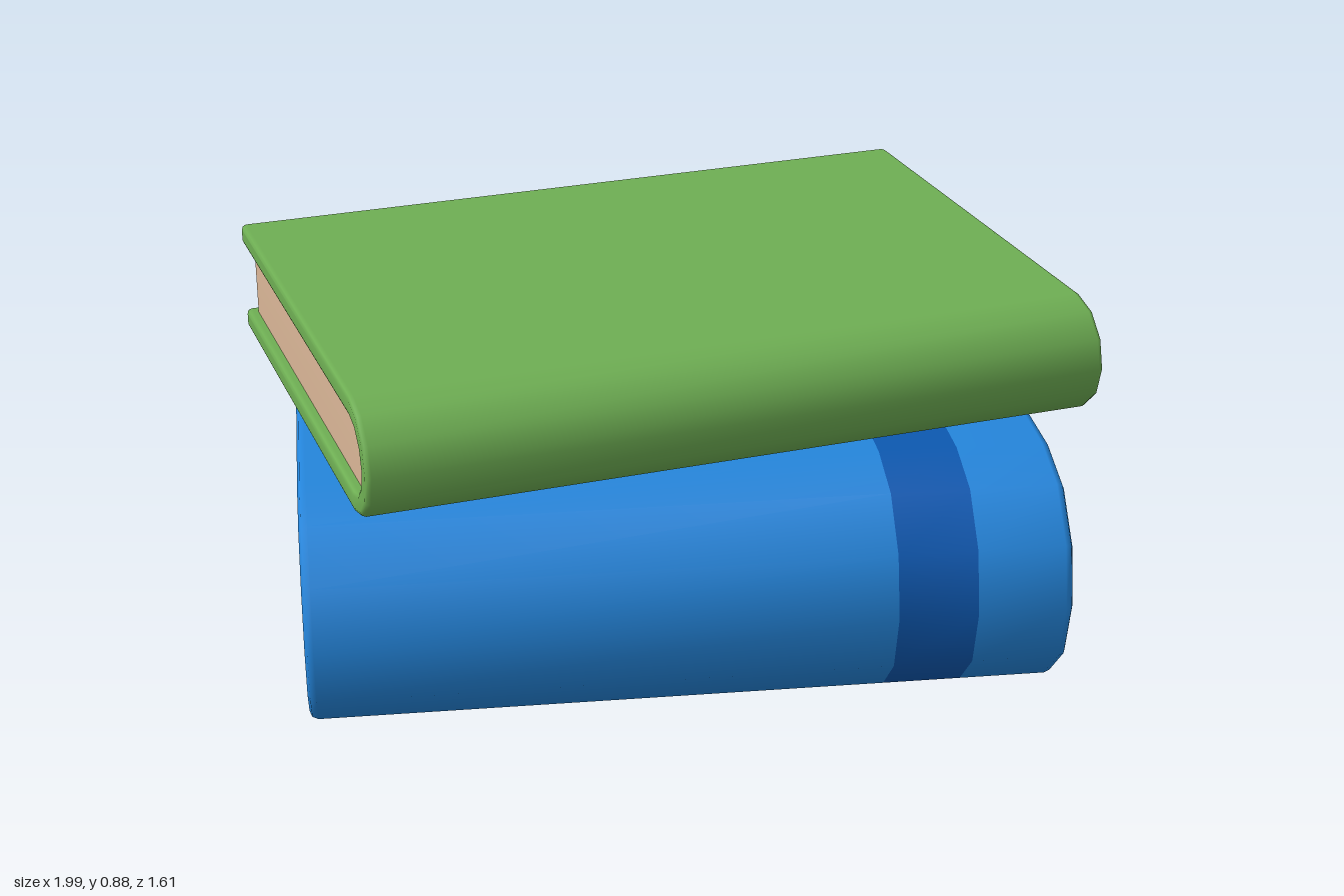
import * as THREE from 'three';
import { mergeVertices } from 'three/addons/utils/BufferGeometryUtils.js';

const flat = (name, color) => {
  const m = new THREE.MeshStandardMaterial({ color });
  m.name = name;
  return m;
};

// Points along an arc, angles in degrees
function arc(cx, cy, r, a0, a1, n) {
  return Array.from({ length: n + 1 }, (_, i) => {
    const a = THREE.MathUtils.degToRad(a0 + (a1 - a0) * i / n);
    return new THREE.Vector2(cx + r * Math.cos(a), cy + r * Math.sin(a));
  });
}

// Extrude a side profile along x, with soft ends and smooth weighted normals.
// Two inner cuts at the given x positions allow a band to be separated.
function extrudeAlongX(points, width, bevel, cuts) {
  const length = width - 2 * bevel;
  let geo = new THREE.ExtrudeGeometry(new THREE.Shape(points), {
    depth: length, steps: cuts ? 3 : 1, bevelEnabled: true, bevelSegments: 2,
    bevelSize: bevel, bevelThickness: bevel, bevelOffset: -bevel,
  });
  geo.rotateY(Math.PI / 2).translate(-length / 2, 0, 0);
  if (cuts) {
    const p = geo.attributes.position;
    for (let i = 0; i < p.count; i++) {
      if (Math.abs(p.getX(i) + length / 6) < 1e-4) p.setX(i, cuts[0]);
      else if (Math.abs(p.getX(i) - length / 6) < 1e-4) p.setX(i, cuts[1]);
    }
  }
  geo.deleteAttribute('uv');
  geo.deleteAttribute('normal');
  geo.clearGroups();
  geo = mergeVertices(geo, 1e-5);
  geo.computeVertexNormals();
  return geo;
}

// Keep only the triangles whose centre satisfies the test on x
function pickTriangles(geo, test) {
  const p = geo.attributes.position, src = geo.index.array, index = [];
  for (let i = 0; i < src.length; i += 3) {
    const x = (p.getX(src[i]) + p.getX(src[i + 1]) + p.getX(src[i + 2])) / 3;
    if (test(x)) index.push(src[i], src[i + 1], src[i + 2]);
  }
  const out = geo.clone();
  out.setIndex(index);
  return out;
}

function makeBook({ name, width, depth, height, board, soft, pageSoft, cover, paper, band, bandMaterial }) {
  const book = new THREE.Group();
  book.name = name;
  const add = (geo, mat, part) => {
    const mesh = new THREE.Mesh(geo, mat);
    mesh.name = part;
    book.add(mesh);
  };
  const h = height / 2, back = depth / 2, spine = -back + h, r = soft * 1.1;

  // Cover: two boards joined by a round spine
  const coverPoints = [
    ...arc(spine, 0, h, 90, 270, 6),
    ...arc(back - r, -h + r, r, -90, 0, 2),
    ...arc(back - r, -h + board - r, r, 0, 90, 2),
    ...arc(spine, 0, h - board, 270, 90, 6),
    ...arc(back - r, h - board + r, r, -90, 0, 2),
    ...arc(back - r, h - r, r, 0, 90, 2),
  ];
  const coverGeo = extrudeAlongX(coverPoints, width, soft, band);
  if (band) {
    const inBand = x => x > band[0] && x < band[1];
    add(pickTriangles(coverGeo, x => !inBand(x)), cover, 'cover');
    add(pickTriangles(coverGeo, inBand), bandMaterial, 'coverBand');
  } else add(coverGeo, cover, 'cover');

  // Page block, tucked slightly into the boards
  const ph = h - board + pageSoft + 0.004, pb = back - 0.03;
  const pagePoints = [
    ...arc(spine, 0, ph, 90, 270, 6),
    new THREE.Vector2(pb, -ph),
    new THREE.Vector2(pb, ph),
  ];
  add(extrudeAlongX(pagePoints, width - 0.046, pageSoft), paper, 'pages');
  return book;
}

export function createModel() {
  const model = new THREE.Group();
  model.name = 'bookStack';
  const blue = flat('blue', 0x2485db);
  const darkBlue = flat('darkBlue', 0x0d58b0);
  const green = flat('green', 0x6eae53);
  const paper = flat('paper', 0xdab697);

  // Thick lower book with a band around its cover
  const lower = makeBook({
    name: 'lowerBook', width: 1.755, depth: 1.435, height: 0.575, board: 0.1,
    soft: 0.02, pageSoft: 0.025, cover: blue, paper,
    band: [0.468, 0.653], bandMaterial: darkBlue,
  });
  lower.position.set(-0.0025, 0.2875, 0.0175);

  // Thin upper book, turned on top
  const upper = makeBook({
    name: 'upperBook', width: 1.765, depth: 1.268, height: 0.28, board: 0.053,
    soft: 0.012, pageSoft: 0.012, cover: green, paper,
  });
  upper.position.set(0, 0.745, -0.003);
  upper.rotation.y = 0.2175;

  model.add(lower, upper);
  return model;
}
